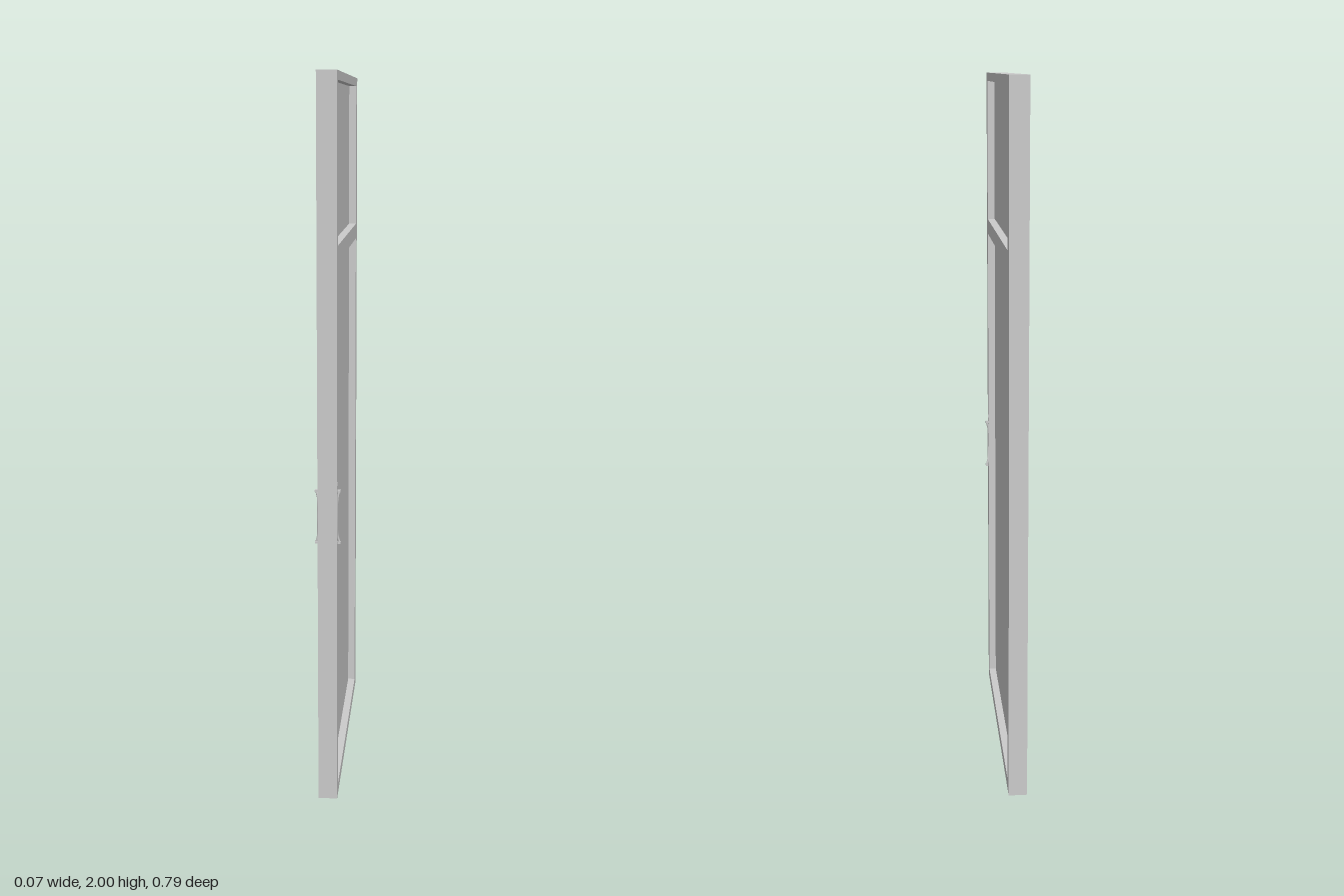
import * as THREE from 'three';

const material = new THREE.MeshStandardMaterial({ color: 0xcccccc });

function rectangle(target, x0, y0, x1, y1) {
  target.moveTo(x0, y0);
  target.lineTo(x1, y0);
  target.lineTo(x1, y1);
  target.lineTo(x0, y1);
  target.closePath();
  return target;
}

function add(group, name, geometry, x = 0, y = 0, z = 0) {
  const mesh = new THREE.Mesh(geometry, material);
  mesh.name = name;
  mesh.position.set(x, y, z);
  group.add(mesh);
  return mesh;
}

export function createModel() {
  const door = new THREE.Group();
  door.name = 'door';
  const depth = 0.053, halfWidth = 0.394;
  const zBack = -0.35, zFront = 0.36;
  const openings = [
    { name: 'lowerPanel', bottom: 0.032, top: 1.515 },
    { name: 'upperPanel', bottom: 1.56, top: 1.976 },
  ];

  // Frame with two openings, drawn in the z-y plane
  const outline = rectangle(new THREE.Shape(), -halfWidth, 0, halfWidth, 2);
  for (const o of openings) {
    outline.holes.push(rectangle(new THREE.Path(), -zFront, o.bottom, -zBack, o.top));
  }
  const frame = new THREE.ExtrudeGeometry(outline, { depth, bevelEnabled: false });
  frame.translate(0, 0, -depth / 2).rotateY(Math.PI / 2);
  add(door, 'frame', frame);

  // Panels, set deeper on the +x side
  for (const o of openings) {
    const panel = new THREE.BoxGeometry(0.026, o.top - o.bottom, zFront - zBack);
    add(door, o.name, panel, -0.008, (o.top + o.bottom) / 2, (zFront + zBack) / 2);
  }

  // Bowed pull handle and small lock on each face
  for (const side of [-1, 1]) {
    const handle = new THREE.Group();
    handle.name = side > 0 ? 'leftHandle' : 'rightHandle';
    const path = new THREE.CatmullRomCurve3([
      [0.032, 0.757, 0.374], [0.027, 0.775, 0.376], [0.0255, 0.8, 0.381], [0.0255, 0.83, 0.383],
      [0.0255, 0.86, 0.381], [0.027, 0.885, 0.376], [0.032, 0.903, 0.374],
    ].map(([x, y, z]) => new THREE.Vector3(side * x, y, z)));
    add(handle, 'grip', new THREE.TubeGeometry(path, 24, 0.003, 8));
    for (const y of [0.757, 0.903]) {
      add(handle, 'gripEnd', new THREE.BoxGeometry(0.01, 0.006, 0.009), side * 0.03, y, 0.375);
    }
    add(handle, 'lock', new THREE.BoxGeometry(0.002, 0.01, 0.004), side * 0.0268, 0.922, 0.375);
    door.add(handle);
  }
  return door;
}
